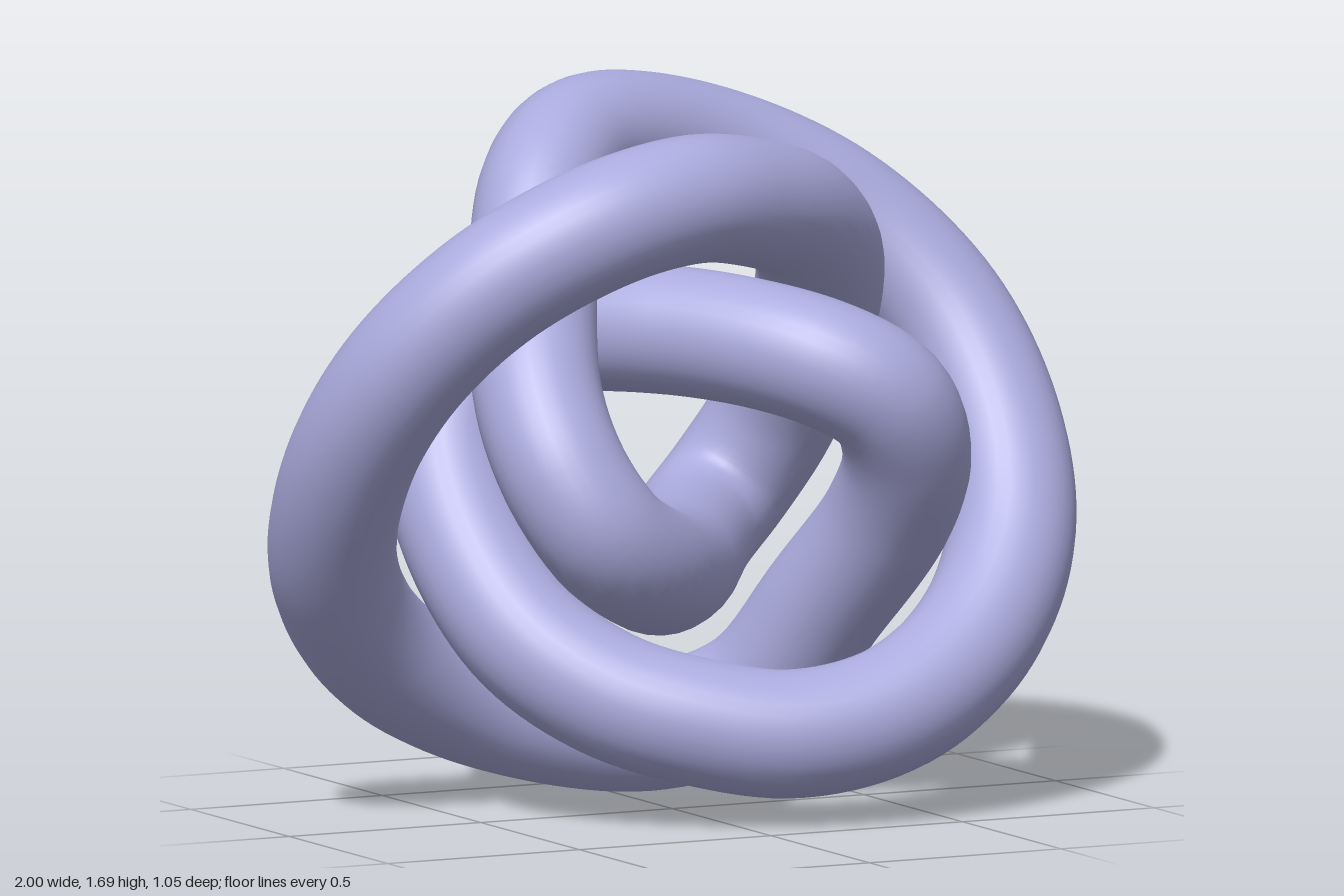
import * as THREE from 'three';

const TUBE_RADIUS = 0.15;
const CENTRE_Y = 0.845;

// Half of the knot's centre line; the other half is this one turned 180 degrees about z
const HALF_PATH = [
  // outer loop, rising to the back
  [0.85, 0, 0], [0.79, 0.26, -0.18], [0.59, 0.485, -0.32], [0.28, 0.635, -0.375],
  [-0.08, 0.695, -0.28], [-0.27, 0.61, -0.13],
  // inner loop, through the front and then the back
  [-0.385, 0.37, 0.04], [-0.455, 0.16, 0.21], [-0.445, 0, 0.325],
  [-0.37, -0.135, 0.375], [-0.24, -0.22, 0.315], [0, -0.275, 0], [0.23, -0.235, -0.325],
  [0.34, -0.15, -0.375], [0.425, 0, -0.325], [0.445, 0.2, -0.19], [0.385, 0.415, 0],
  // outer loop again, over the front
  [0.25, 0.54, 0.15], [0.07, 0.605, 0.27], [-0.14, 0.635, 0.355], [-0.39, 0.587, 0.375],
  [-0.63, 0.45, 0.30], [-0.795, 0.245, 0.17],
];

export function createModel() {
  const group = new THREE.Group();
  group.name = 'figureEightKnot';

  const lavender = new THREE.MeshStandardMaterial({ color: 0xaaaadd });
  lavender.name = 'lavender';

  // Closed centre line made from both halves
  const points = [1, -1].flatMap((s) =>
    HALF_PATH.map(([x, y, z]) => new THREE.Vector3(s * x, s * y, z)));
  const path = new THREE.CatmullRomCurve3(points, true, 'centripetal');
  path.arcLengthDivisions = 1000;

  // Round tube swept along the line
  const knot = new THREE.Mesh(
    new THREE.TubeGeometry(path, 400, TUBE_RADIUS, 32, true), lavender);
  knot.name = 'knotTube';
  knot.position.y = CENTRE_Y;
  group.add(knot);

  return group;
}
